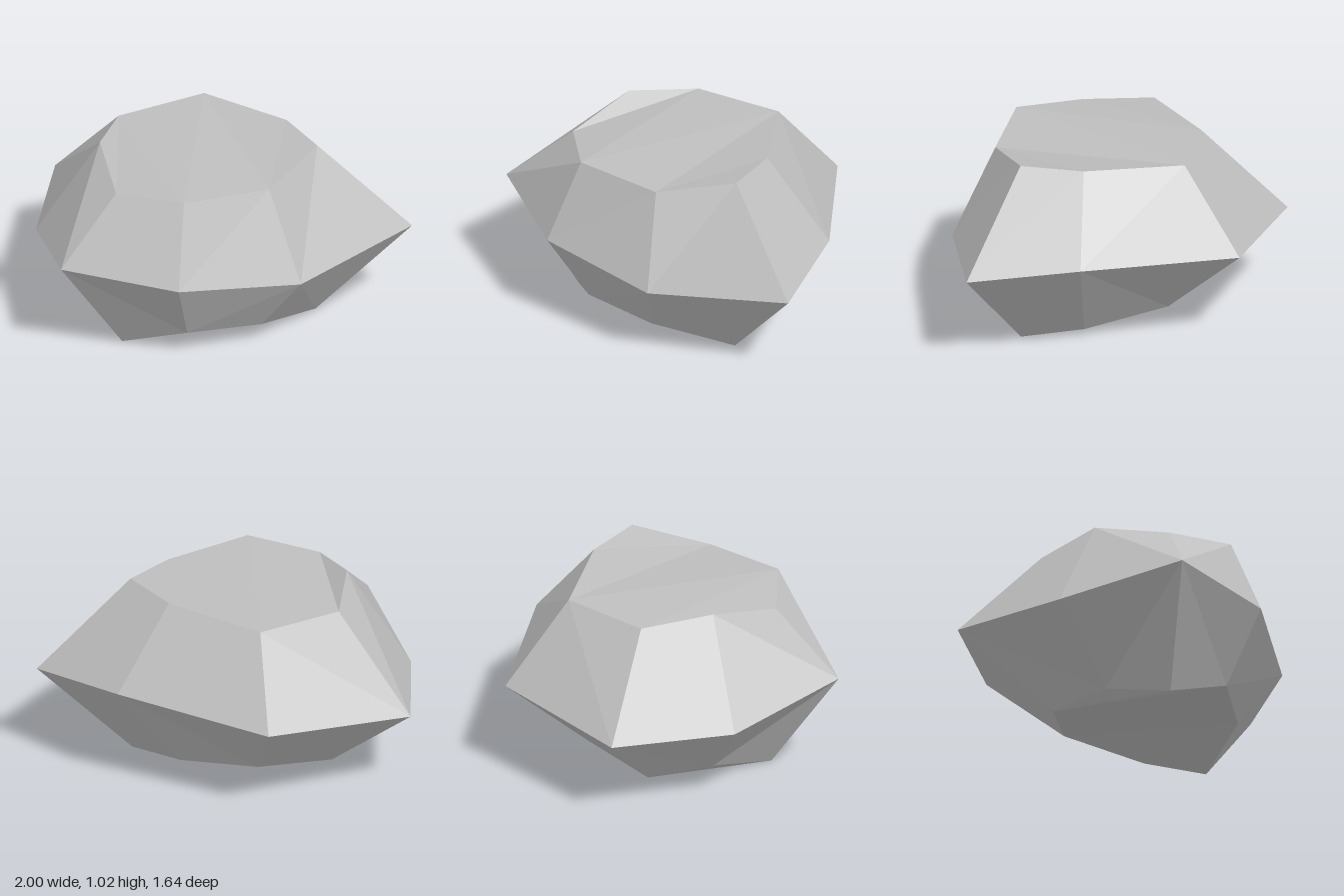
import * as THREE from 'three';

// Cross-sections of the boulder: eight corners each, from front left round to left
const crown = [
  [0.51, 1.025, 0.36], [0.15, 0.95, 0.61], [-0.35, 0.97, 0.64], [-0.64, 0.93, 0.35],
  [-0.59, 1.015, -0.07], [-0.37, 0.96, -0.4], [0.14, 0.975, -0.46], [0.45, 1.01, 0.02],
];
const waist = [
  [1, 0.52, 0.52], [0.26, 0.45, 0.82], [-0.44, 0.53, 0.82], [-1, 0.59, 0.48],
  [-0.91, 0.45, -0.21], [-0.59, 0.46, -0.825], [0.27, 0.525, -0.81], [0.81, 0.58, -0.07],
];
const base = [
  [0.5, 0.005, 0.36], [0.11, 0.11, 0.6], [-0.32, 0.14, 0.61], [-0.605, 0, 0.35],
  [-0.54, 0.07, -0.02], [-0.36, 0.04, -0.34], [0.1, 0.105, -0.355], [0.37, 0.035, 0.04],
];

// Cap triangles, as corner numbers of one cross-section
const cap = [[5, 4, 3], [5, 3, 2], [6, 5, 2], [6, 2, 1], [7, 6, 1], [7, 1, 0]];

// Which way each side panel is split: 1 joins the next waist corner to this rim corner
const upperSplit = [1, 1, 1, 0, 1, 0, 1, 1];
const lowerSplit = [1, 0, 1, 0, 1, 0, 1, 0];

function rockGeometry() {
  const points = [];
  const tri = (a, b, c, flip) => points.push(...a, ...(flip ? c : b), ...(flip ? b : c));

  // Sloping sides and cap for the upper half, then the lower half with reversed winding
  for (const [rim, split, flip] of [[crown, upperSplit, false], [base, lowerSplit, true]]) {
    for (let i = 0; i < 8; i++) {
      const j = (i + 1) % 8;
      if (split[i]) {
        tri(waist[j], waist[i], rim[i], flip);
        tri(waist[j], rim[i], rim[j], flip);
      } else {
        tri(waist[j], waist[i], rim[j], flip);
        tri(waist[i], rim[i], rim[j], flip);
      }
    }
    for (const [a, b, c] of cap) tri(rim[a], rim[b], rim[c], flip);
  }

  const geometry = new THREE.BufferGeometry();
  geometry.setAttribute('position', new THREE.Float32BufferAttribute(points, 3));
  geometry.computeVertexNormals();
  return geometry;
}

export function createModel() {
  const stone = new THREE.MeshStandardMaterial({ color: 0xbebebe, flatShading: true });
  stone.name = 'pale stone grey';

  const boulder = new THREE.Mesh(rockGeometry(), stone);
  boulder.name = 'boulder';

  const group = new THREE.Group();
  group.name = 'rock';
  group.add(boulder);
  return group;
}
